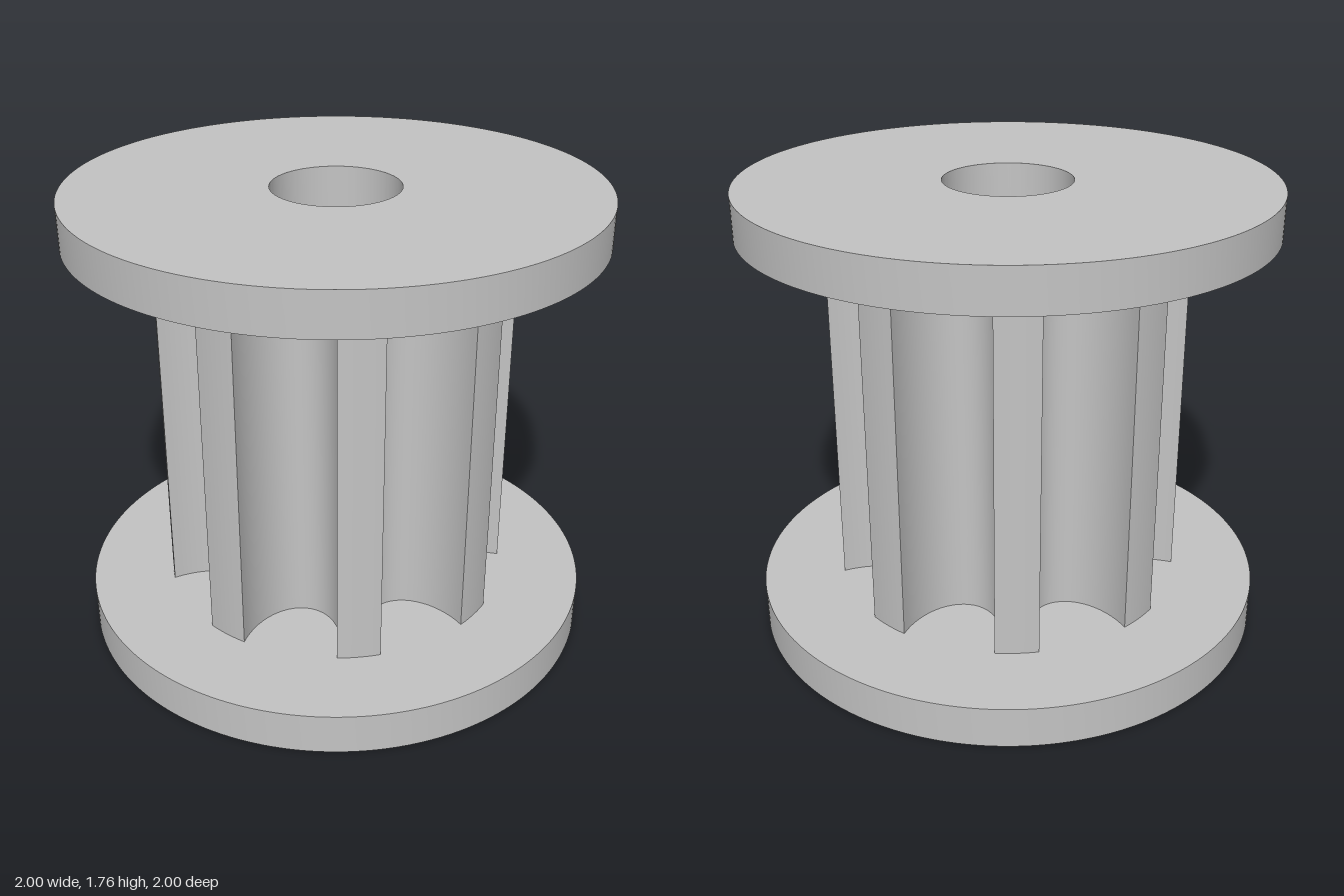
import * as THREE from 'three';
import { toCreasedNormals } from 'three/addons/utils/BufferGeometryUtils.js';

const BORE = 0.243, FLANGE_R = 1, CORE_R = 0.68;
const FLANGE_H = 0.16, HEIGHT = 1.765;
const GROOVES = 8, HALF_WIDTH = 0.182, DEPTH = 0.265;

// Closed outline with the central bore cut out
function withBore(shape) {
  const hole = new THREE.Path();
  hole.absarc(0, 0, BORE, 0, Math.PI * 2, true);
  shape.holes.push(hole);
  return shape;
}

// Upright extrusion with smooth curved walls and sharp rims
function upright(shape, height, y) {
  const geo = new THREE.ExtrudeGeometry(shape, { depth: height, bevelEnabled: false, curveSegments: 96 });
  geo.rotateX(-Math.PI / 2);
  geo.translate(0, y, 0);
  return toCreasedNormals(geo, Math.PI / 6);
}

// Round core with rounded grooves between narrow lands
function coreShape() {
  const points = [];
  const half = Math.asin(HALF_WIDTH / CORE_R);
  const chord = CORE_R * Math.cos(half);
  const step = (Math.PI * 2) / GROOVES;
  for (let i = 0; i < GROOVES; i++) {
    const a = i * step, c = Math.cos(a), s = Math.sin(a);
    for (let k = 0; k <= 28; k++) {
      const t = (k / 28) * Math.PI;
      const r = chord - DEPTH * Math.sin(t);
      const w = -HALF_WIDTH * Math.cos(t);
      points.push(new THREE.Vector2(r * c - w * s, r * s + w * c));
    }
    for (let k = 1; k < 6; k++) {
      const b = a + half + (k / 6) * (step - 2 * half);
      points.push(new THREE.Vector2(CORE_R * Math.cos(b), CORE_R * Math.sin(b)));
    }
  }
  return withBore(new THREE.Shape(points));
}

export function createModel() {
  const group = new THREE.Group();
  group.name = 'groovedPulley';
  const grey = new THREE.MeshStandardMaterial({ color: 0xc4c4c4 });
  grey.name = 'light grey';

  const add = (name, shape, height, y) => {
    const mesh = new THREE.Mesh(upright(shape, height, y), grey);
    mesh.name = name;
    group.add(mesh);
  };

  const disc = () => withBore(new THREE.Shape().absarc(0, 0, FLANGE_R, 0, Math.PI * 2, false));
  add('bottomFlange', disc(), FLANGE_H, 0);
  add('toothedCore', coreShape(), HEIGHT - 2 * FLANGE_H, FLANGE_H);
  add('topFlange', disc(), FLANGE_H, HEIGHT - FLANGE_H);
  return group;
}
